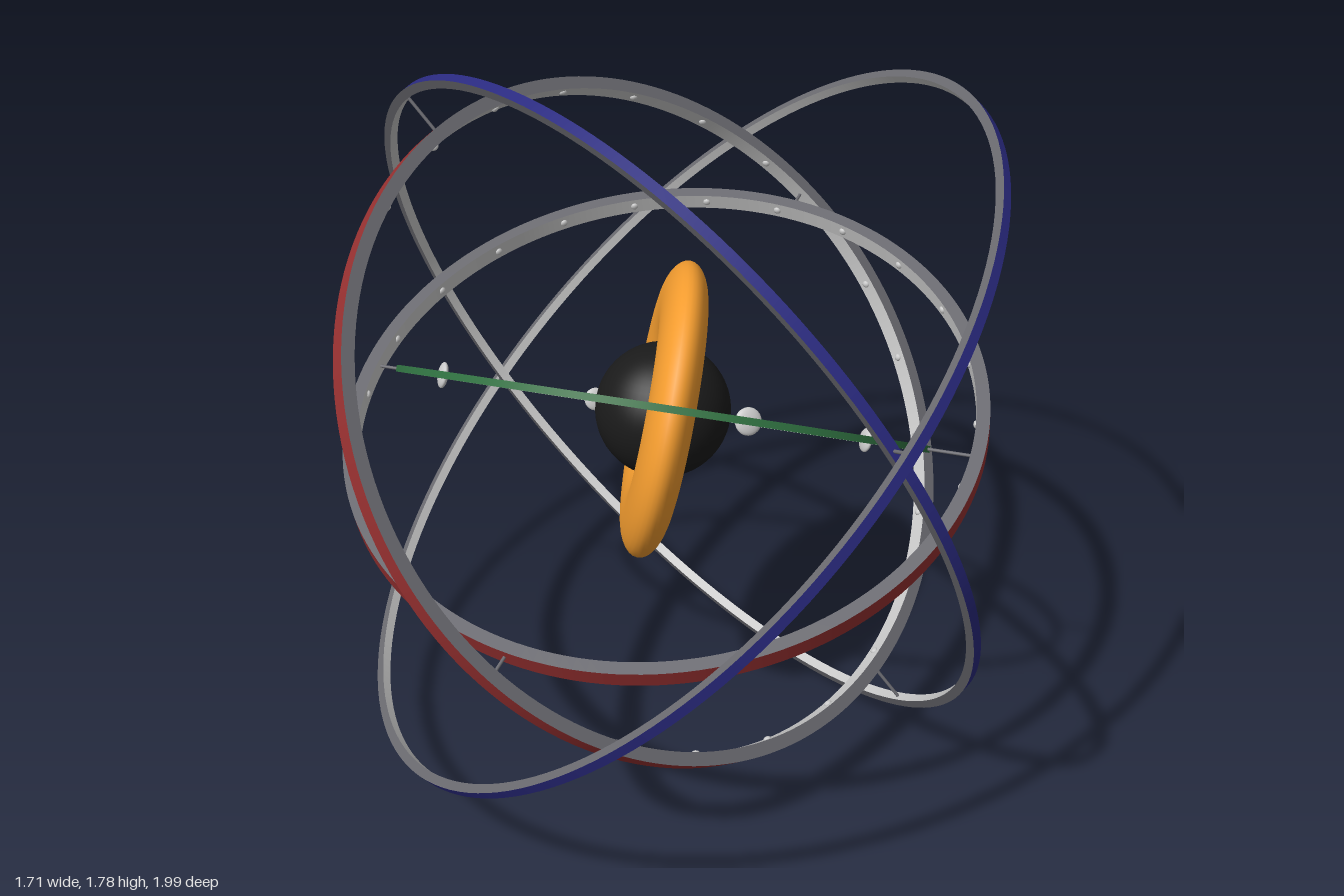
import * as THREE from 'three';

const Y = new THREE.Vector3(0, 1, 0);
const V = (x, y, z) => new THREE.Vector3(x, y, z).normalize();
const mat = (color) => new THREE.MeshStandardMaterial({ color });
const grey = mat(0xcccccc), dark = mat(0x6a6a70), black = mat(0x1a1a1a), orange = mat(0xf39c2f);
const red = mat(0x963030), blue = mat(0x2a2a80), green = mat(0x2f7040);

function add(parent, name, geometry, material) {
  const mesh = new THREE.Mesh(geometry, material);
  mesh.name = name;
  parent.add(mesh);
  return mesh;
}

// Flat hoop: coloured outer wall, dark side faces, grey inner wall
function hoop(parent, { name, normal, radius, w, h, color, rivets }) {
  const g = new THREE.Group();
  g.name = name;
  g.quaternion.setFromUnitVectors(Y, normal);
  parent.add(g);
  const R = radius, r = radius - w, k = h / 2;
  const wall = (part, a, b, m) =>
    add(g, part, new THREE.LatheGeometry([new THREE.Vector2(...a), new THREE.Vector2(...b)], 160), m);
  wall('outerWall', [R, -k], [R, k], color);
  wall('upperFace', [R, k], [r, k], dark);
  wall('innerWall', [r, k], [r, -k], grey);
  wall('lowerFace', [r, -k], [R, -k], dark);

  // Rivets around the inner wall
  for (let i = 0; i < rivets; i++) {
    const a = ((i + 0.5) / rivets) * Math.PI * 2;
    const rivet = add(g, 'rivet', new THREE.SphereGeometry(0.01, 10, 6), grey);
    rivet.scale.set(0.7, 1, 1);
    rivet.rotation.y = -a;
    rivet.position.set(r * Math.cos(a), 0, r * Math.sin(a));
  }
  return g;
}

// Round rod along a direction, between two distances from the origin
function rod(parent, name, dir, from, to, radius, material) {
  const m = add(parent, name, new THREE.CylinderGeometry(radius, radius, to - from, 12), material);
  m.quaternion.setFromUnitVectors(Y, dir);
  m.position.copy(dir).multiplyScalar((from + to) / 2);
  return m;
}

export function createModel() {
  const model = new THREE.Group();
  model.name = 'gyroscope';
  const core = new THREE.Group();
  core.name = 'core';
  core.position.y = 0.9;
  model.add(core);

  // Central ball and flattened ring
  add(core, 'centreBall', new THREE.SphereGeometry(0.165, 48, 32), black);
  const disc = add(core, 'flatTorus', new THREE.TorusGeometry(0.258, 0.107, 32, 96), orange);
  disc.scale.z = 0.52;
  disc.quaternion.setFromUnitVectors(new THREE.Vector3(0, 0, 1), V(0.94, -0.19, -0.28));

  // Nested hoops, inner to outer
  const hoops = [
    { name: 'innerHoop', normal: V(0, 0.866, -0.5), radius: 0.648, w: 0.014, h: 0.016, color: green, rivets: 0 },
    { name: 'secondHoop', normal: V(0, 0.94, 0.342), radius: 0.782, w: 0.032, h: 0.042, color: red, rivets: 24 },
    { name: 'thirdHoop', normal: V(0.707, 0.612, 0.354), radius: 0.86, w: 0.032, h: 0.042, color: red, rivets: 24 },
    { name: 'fourthHoop', normal: V(0.49, 0.42, -0.763), radius: 0.975, w: 0.022, h: 0.024, color: blue, rivets: 0 },
    { name: 'outerHoop', normal: V(0.64, -0.704, -0.31), radius: 1.04, w: 0.022, h: 0.024, color: blue, rivets: 0 },
  ];
  const built = hoops.map((p) => hoop(core, p));

  // Pivot pins on the shared axis of neighbouring hoops
  for (let i = 0; i < hoops.length - 1; i++) {
    const a = hoops[i], b = hoops[i + 1];
    const axis = a.normal.clone().cross(b.normal).normalize();
    for (const s of [1, -1])
      rod(core, 'pivotPin', axis.clone().multiplyScalar(s), a.radius - 0.005, b.radius - b.w + 0.005, 0.004, dark);
  }

  // Four round pads on stems inside the inner hoop
  for (let i = 0; i < 4; i++) {
    const a = THREE.MathUtils.degToRad(55 + 90 * i);
    const dir = V(Math.cos(a), 0, Math.sin(a));
    rod(built[0], 'padStem', dir, 0.55, 0.64, 0.005, dark);
    const pad = add(built[0], 'pad', new THREE.SphereGeometry(0.031, 24, 14), grey);
    pad.scale.y = 0.35;
    pad.quaternion.setFromUnitVectors(Y, dir);
    pad.position.copy(dir).multiplyScalar(0.55);
  }
  return model;
}
